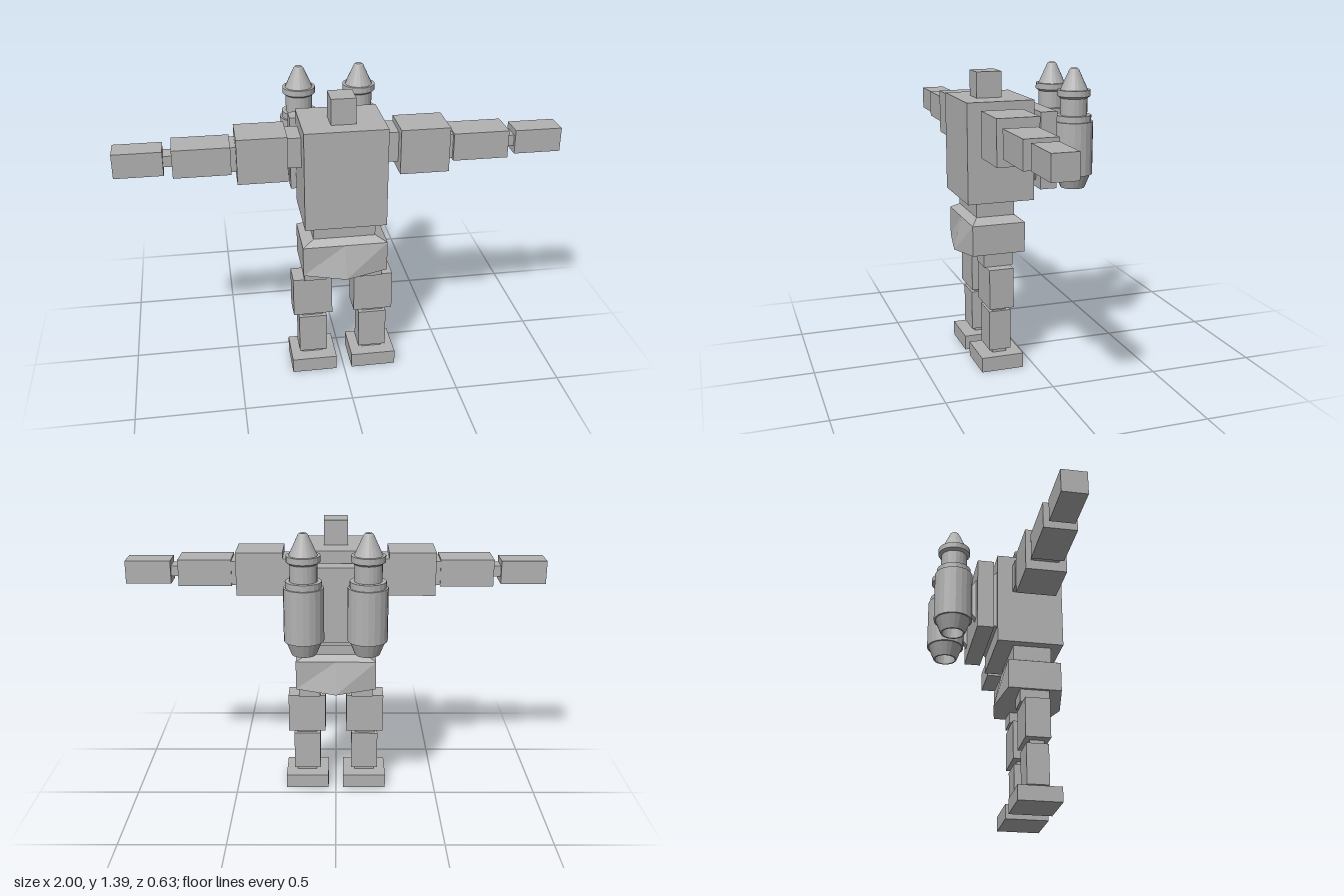
import * as THREE from 'three';

const grey = new THREE.MeshStandardMaterial({ color: 0xb2b2b2 });
grey.name = 'grey';

// Unshared vertices give every face its own flat normal
function flat(geometry) {
  const g = geometry.index ? geometry.toNonIndexed() : geometry;
  g.computeVertexNormals();
  return g;
}

function addMesh(parent, name, geometry) {
  const mesh = new THREE.Mesh(geometry, grey);
  mesh.name = name;
  parent.add(mesh);
  return mesh;
}

// Box from its limits; backX and backY shrink the rear face into a frustum
function box(parent, name, x0, x1, y0, y1, z0, z1, backX = 1, backY = 1) {
  const g = new THREE.BoxGeometry(x1 - x0, y1 - y0, z1 - z0);
  const p = g.attributes.position;
  for (let i = 0; i < p.count; i++) {
    if (p.getZ(i) < 0) p.setXY(i, p.getX(i) * backX, p.getY(i) * backY);
  }
  const mesh = addMesh(parent, name, flat(g));
  mesh.position.set((x0 + x1) / 2, (y0 + y1) / 2, (z0 + z1) / 2);
}

// Box between limits given for the model's left, mirrored for its right
function sideBox(parent, side, name, a, b, ...rest) {
  box(parent, name, side > 0 ? a : -b, side > 0 ? b : -a, ...rest);
}

// Hips: bevelled top, and a keel that drops and juts out along the centre
function hipsGeometry() {
  const g = new THREE.BoxGeometry(2, 2, 2, 2, 2, 1);
  const p = g.attributes.position;
  for (let i = 0; i < p.count; i++) {
    const x = p.getX(i), y = p.getY(i), z = p.getZ(i);
    const keel = y < -0.5 && Math.abs(x) < 0.5;
    const halfX = y > 0.5 ? 0.143 : 0.195;
    const halfZ = y > 0.5 ? 0.091 : keel ? 0.161 : 0.125;
    const height = y > 0.5 ? 0.72 : y > -0.5 ? 0.693 : keel ? 0.534 : 0.552;
    p.setXYZ(i, x * halfX, height, 0.155 + z * halfZ);
  }
  return flat(g);
}

// Booster: recessed nozzle, body, ring, neck, collar and blunt nose cone
function boosterGeometry() {
  const profile = [
    [0, 0.885], [0.05, 0.885], [0.05, 0.831], [0.057, 0.831], [0.083, 0.896],
    [0.091, 0.896], [0.091, 1.143], [0.082, 1.143], [0.082, 1.172],
    [0.063, 1.172], [0.063, 1.25], [0.077, 1.26], [0.077, 1.288],
    [0.064, 1.288], [0.022, 1.38], [0.015, 1.386], [0, 1.386],
  ].map(([r, y]) => new THREE.Vector2(r, y));
  return flat(new THREE.LatheGeometry(profile, 20));
}

export function createModel() {
  const model = new THREE.Group();
  model.name = 'robot';

  // Head and trunk
  box(model, 'head', -0.056, 0.056, 1.255, 1.374, 0.095, 0.213);
  box(model, 'torso', -0.186, 0.186, 0.793, 1.255, -0.018, 0.297);
  box(model, 'waist', -0.143, 0.143, 0.72, 0.793, 0.064, 0.246);
  addMesh(model, 'hips', hipsGeometry());

  // Backpack
  const pack = new THREE.Group();
  pack.name = 'backpack';
  model.add(pack);
  box(pack, 'packMount', -0.17, 0.17, 0.872, 1.169, -0.04, -0.018, 0.9, 0.9);
  box(pack, 'packPlate', -0.21, 0.21, 0.846, 1.202, -0.119, -0.04);

  const boosterShape = boosterGeometry();
  for (const side of [1, -1]) {
    const label = side > 0 ? 'left' : 'right';

    // Arm, held straight out
    const arm = new THREE.Group();
    arm.name = label + 'Arm';
    model.add(arm);
    sideBox(arm, side, 'shoulder', 0.186, 0.25, 1.06, 1.2, 0.055, 0.2);
    sideBox(arm, side, 'upperArm', 0.25, 0.472, 1.019, 1.227, 0.06, 0.252);
    sideBox(arm, side, 'elbow', 0.472, 0.495, 1.065, 1.18, 0.085, 0.215);
    sideBox(arm, side, 'forearm', 0.495, 0.747, 1.06, 1.188, 0.08, 0.233);
    sideBox(arm, side, 'wrist', 0.747, 0.785, 1.1, 1.15, 0.113, 0.195);
    sideBox(arm, side, 'hand', 0.785, 1, 1.067, 1.178, 0.097, 0.213);

    // Leg
    const leg = new THREE.Group();
    leg.name = label + 'Leg';
    model.add(leg);
    sideBox(leg, side, 'hipJoint', 0.078, 0.183, 0.49, 0.58, 0.086, 0.224);
    sideBox(leg, side, 'thigh', 0.052, 0.236, 0.3, 0.49, 0.098, 0.214);
    sideBox(leg, side, 'knee', 0.097, 0.195, 0.28, 0.3, 0.124, 0.191);
    sideBox(leg, side, 'shin', 0.078, 0.21, 0.088, 0.28, 0.106, 0.209);
    sideBox(leg, side, 'ankle', 0.097, 0.195, 0.07, 0.088, 0.124, 0.191);
    sideBox(leg, side, 'foot', 0.037, 0.25, 0, 0.07, 0.056, 0.257);

    // Booster and its bracket
    sideBox(pack, side, 'bracket', 0.122, 0.164, 0.91, 1.117, -0.15, -0.119, 0.6, 0.6);
    const booster = addMesh(pack, label + 'Booster', boosterShape);
    booster.position.set(side * 0.143, 0, -0.226);
  }
  return model;
}
